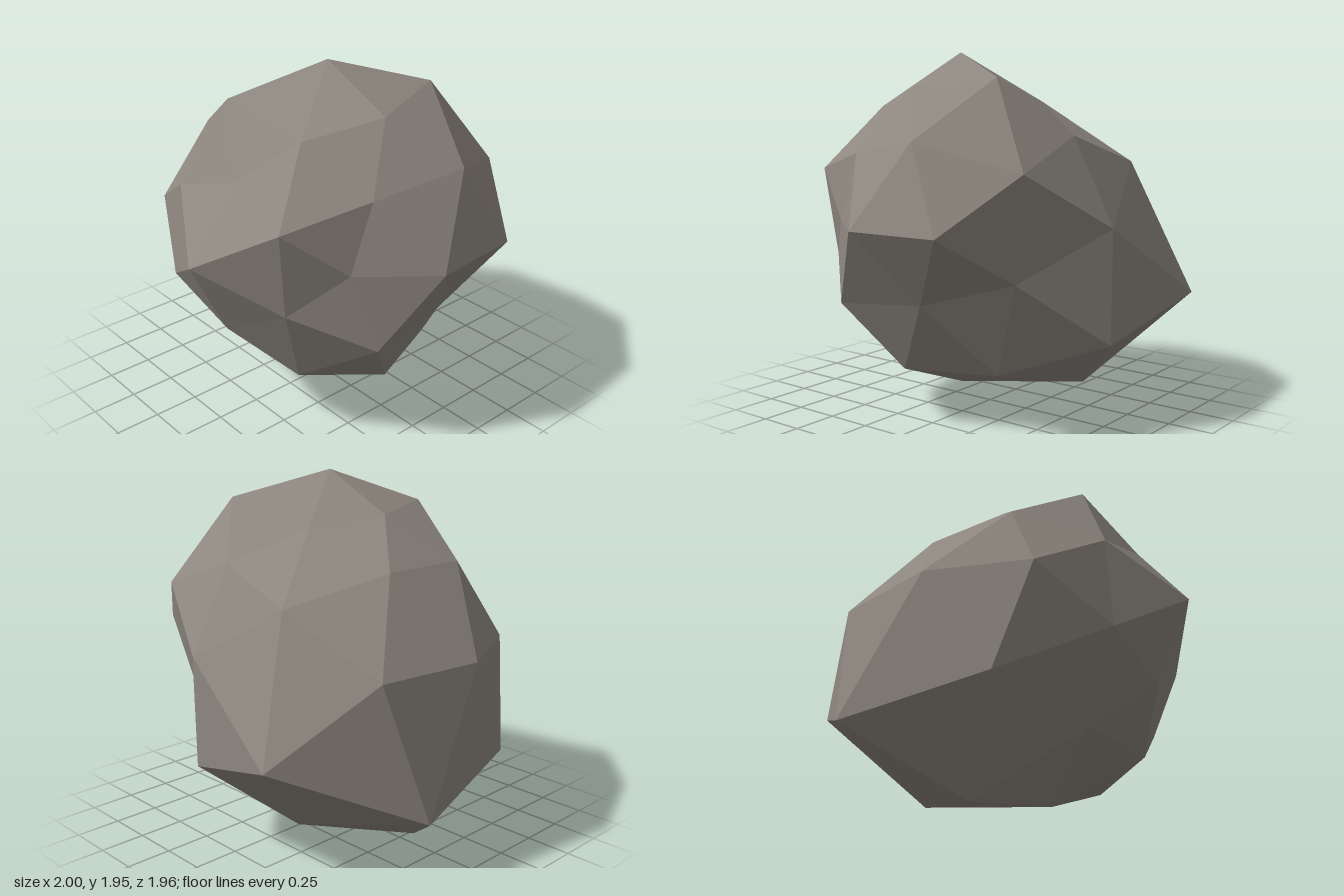
import * as THREE from 'three';

// Radius of each corner, grouped by direction family (rounded |x|,|y|,|z| times ten).
// Within a family the order runs through the signs: + + +, - + +, + - +, - - +, + + - ...
const RADII = {
  '10,0,0': [0.86, 1.055],
  '0,10,0': [0.875, 0.945],
  '0,0,10': [0.89, 0.96],
  '5,9,0': [0.80, 0.785, 0.90, 1.26],
  '0,5,9': [0.71, 0.80, 0.855, 1.125],
  '9,0,5': [0.67, 0.957, 0.963, 1.147],
  '3,8,5': [0.728, 0.86, 0.85, 0.828, 0.912, 0.755, 0.945, 1.148],
  '5,3,8': [0.803, 0.805, 0.73, 0.865, 0.928, 0.964, 0.825, 1.32],
  '8,5,3': [0.715, 0.855, 0.83, 1.183, 0.868, 0.87, 0.757, 1.415],
};

function radiusFor(v) {
  const parts = v.toArray();
  const key = parts.map((c) => Math.round(Math.abs(c) * 10)).join(',');
  let index = 0;
  let bit = 1;
  for (const c of parts) {
    if (Math.abs(c) < 0.1) continue;
    if (c < 0) index += bit;
    bit *= 2;
  }
  return RADII[key][index];
}

export function createModel() {
  const group = new THREE.Group();
  group.name = 'boulder';

  const stone = new THREE.MeshStandardMaterial({ color: 0x8f8880 });
  stone.name = 'stone';

  // Faceted ball with every corner pushed in or out
  const geometry = new THREE.IcosahedronGeometry(1, 1);
  const position = geometry.attributes.position;
  const v = new THREE.Vector3();
  for (let i = 0; i < position.count; i++) {
    v.fromBufferAttribute(position, i).normalize();
    v.multiplyScalar(radiusFor(v));
    position.setXYZ(i, v.x, v.y, v.z);
  }
  geometry.computeVertexNormals(); // unshared corners give flat facets

  const rock = new THREE.Mesh(geometry, stone);
  rock.name = 'rock';
  rock.position.set(0.14, 1.073, 0.09);
  group.add(rock);
  return group;
}
